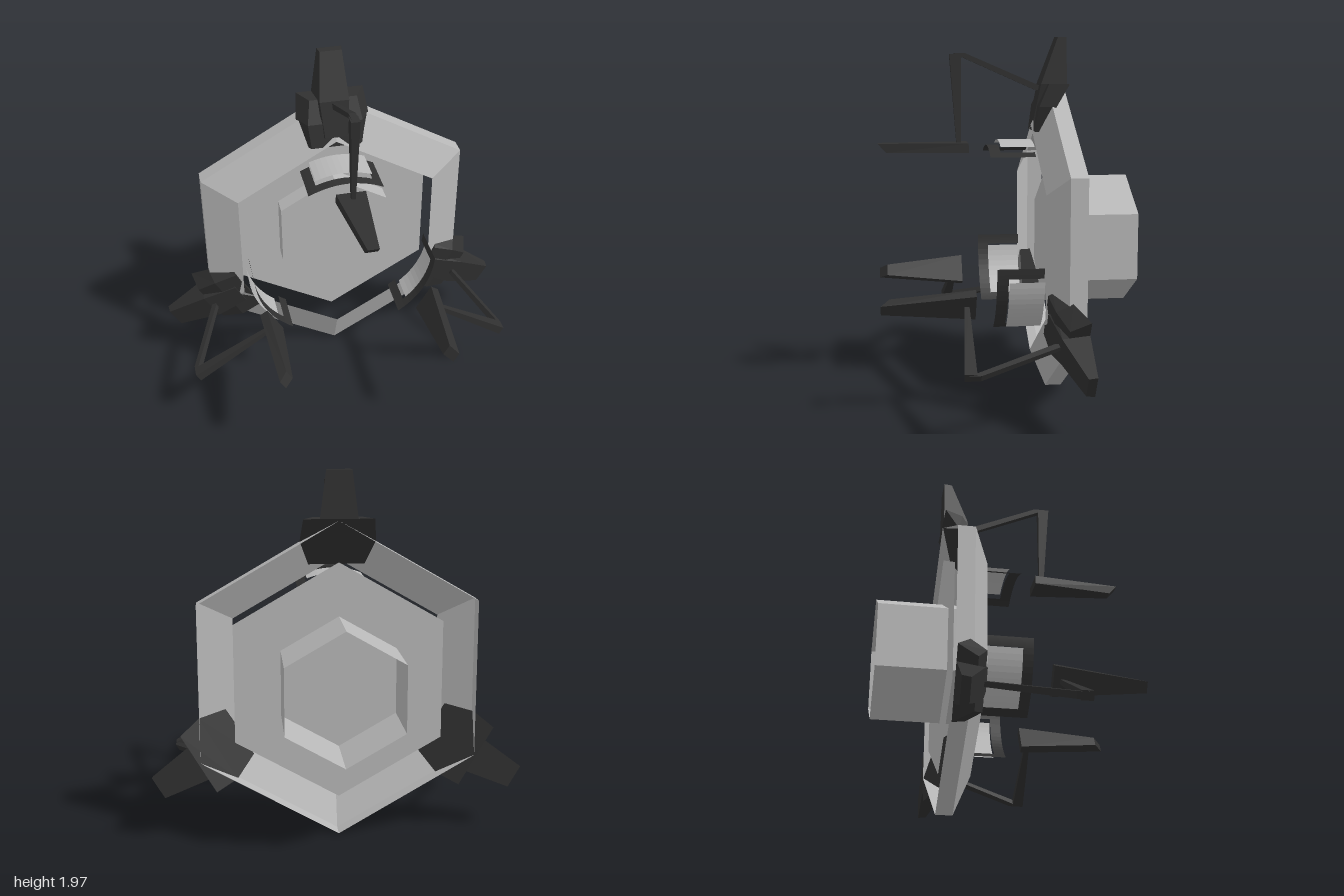
import * as THREE from 'three';

const CY = 0.855; // height of the hexagon axis

const hull = new THREE.MeshStandardMaterial({ color: 0xb8b8b8, flatShading: true, side: THREE.DoubleSide });
hull.name = 'light grey hull';
const dark = new THREE.MeshStandardMaterial({ color: 0x303030, flatShading: true, side: THREE.DoubleSide });
dark.name = 'charcoal';

function add(parent, name, geometry, material) {
  const mesh = new THREE.Mesh(geometry, material);
  mesh.name = name;
  parent.add(mesh);
  return mesh;
}

// Six-sided shell around the z axis; profile is [radius, z]
function hexShell(profile) {
  const points = profile.map(([r, z]) => new THREE.Vector2(r, z));
  return new THREE.LatheGeometry(points, 6).rotateX(Math.PI / 2);
}

// Solid through stacked sections: [y, half width front, half width back, z front, z back]
function loft(sections) {
  const pos = [], idx = [];
  for (const [y, wf, wb, zf, zb] of sections) {
    const h = y - CY;
    pos.push(-wf, h, zf, wf, h, zf, wb, h, zb, -wb, h, zb);
  }
  for (let s = 0; s < sections.length - 1; s++) {
    for (let i = 0; i < 4; i++) {
      const a = s * 4 + i, b = s * 4 + (i + 1) % 4;
      idx.push(a, b, b + 4, a, b + 4, a + 4);
    }
  }
  const t = (sections.length - 1) * 4;
  idx.push(0, 2, 1, 0, 3, 2, t, t + 1, t + 2, t, t + 2, t + 3);
  const indexed = new THREE.BufferGeometry();
  indexed.setAttribute('position', new THREE.Float32BufferAttribute(pos, 3));
  indexed.setIndex(idx);
  const geometry = indexed.toNonIndexed();
  geometry.computeVertexNormals();
  return geometry;
}

// Thin sheet arched across x, running along z
function archedSheet(x0, x1, z0, z1, top) {
  const g = new THREE.PlaneGeometry(x1 - x0, z1 - z0, 10, 1).rotateX(-Math.PI / 2);
  g.translate((x0 + x1) / 2, 0, (z0 + z1) / 2);
  const p = g.attributes.position;
  for (let i = 0; i < p.count; i++) p.setY(i, top - CY - 1.19 * p.getX(i) ** 2);
  g.computeVertexNormals();
  return g;
}

function createArm() {
  const arm = new THREE.Group();
  // Clamp gripping the hexagon corner, with its central fin
  add(arm, 'clampBody', loft([
    [1.465, 0.135, 0.15, -0.155, -0.175],
    [1.60, 0.15, 0.2, -0.175, -0.26],
    [1.72, 0.13, 0.185, -0.23, -0.333],
  ]), dark);
  add(arm, 'clampFin', loft([
    [1.52, 0.06, 0.08, -0.155, -0.19],
    [1.72, 0.08, 0.1, -0.195, -0.333],
    [1.97, 0.06, 0.067, -0.288, -0.333],
  ]), dark);
  // Folded arm with a tapered finger
  add(arm, 'strut', loft([
    [1.685, 0.013, 0.013, -0.17, -0.25],
    [1.885, 0.018, 0.018, 0.28, 0.215],
  ]), dark);
  add(arm, 'post', loft([
    [1.38, 0.011, 0.011, 0.26, 0.235],
    [1.88, 0.024, 0.024, 0.297, 0.235],
  ]), dark);
  add(arm, 'finger', loft([
    [1.35, 0.033, 0.083, 0.645, 0.2],
    [1.4, 0.03, 0.08, 0.69, 0.2],
  ]), dark);
  // Arched shield: dark frame on three sides, light panel just outside it
  for (const s of [-1, 1]) {
    add(arm, 'shieldSide', archedSheet(s * 0.18 - 0.025, s * 0.18 + 0.025, -0.15, 0.095, 1.385), dark);
  }
  add(arm, 'shieldFront', archedSheet(-0.155, 0.155, 0.035, 0.095, 1.385), dark);
  add(arm, 'shieldPanel', archedSheet(-0.155, 0.155, -0.15, 0.035, 1.414), hull);
  return arm;
}

export function createModel() {
  const model = new THREE.Group();
  model.name = 'hexagonalStation';
  const body = new THREE.Group();
  body.name = 'body';
  body.position.y = CY;
  model.add(body);

  // Open sloped ring, the plate set behind it, and the tube open at the rear
  add(body, 'outerRing', hexShell([[0.64, -0.15], [0.855, -0.24], [0.855, -0.33]]), hull);
  add(body, 'corePlate', hexShell([[0, -0.32], [0.64, -0.32]]), hull);
  add(body, 'rearTube', hexShell([[0.355, -0.69], [0.355, -0.22], [0, -0.22]]), hull);

  // Three identical arms at every other corner
  for (let i = 0; i < 3; i++) {
    const arm = createArm();
    arm.name = ['topArm', 'rightArm', 'leftArm'][i];
    arm.rotation.z = i * Math.PI * 2 / 3;
    body.add(arm);
  }
  return model;
}
